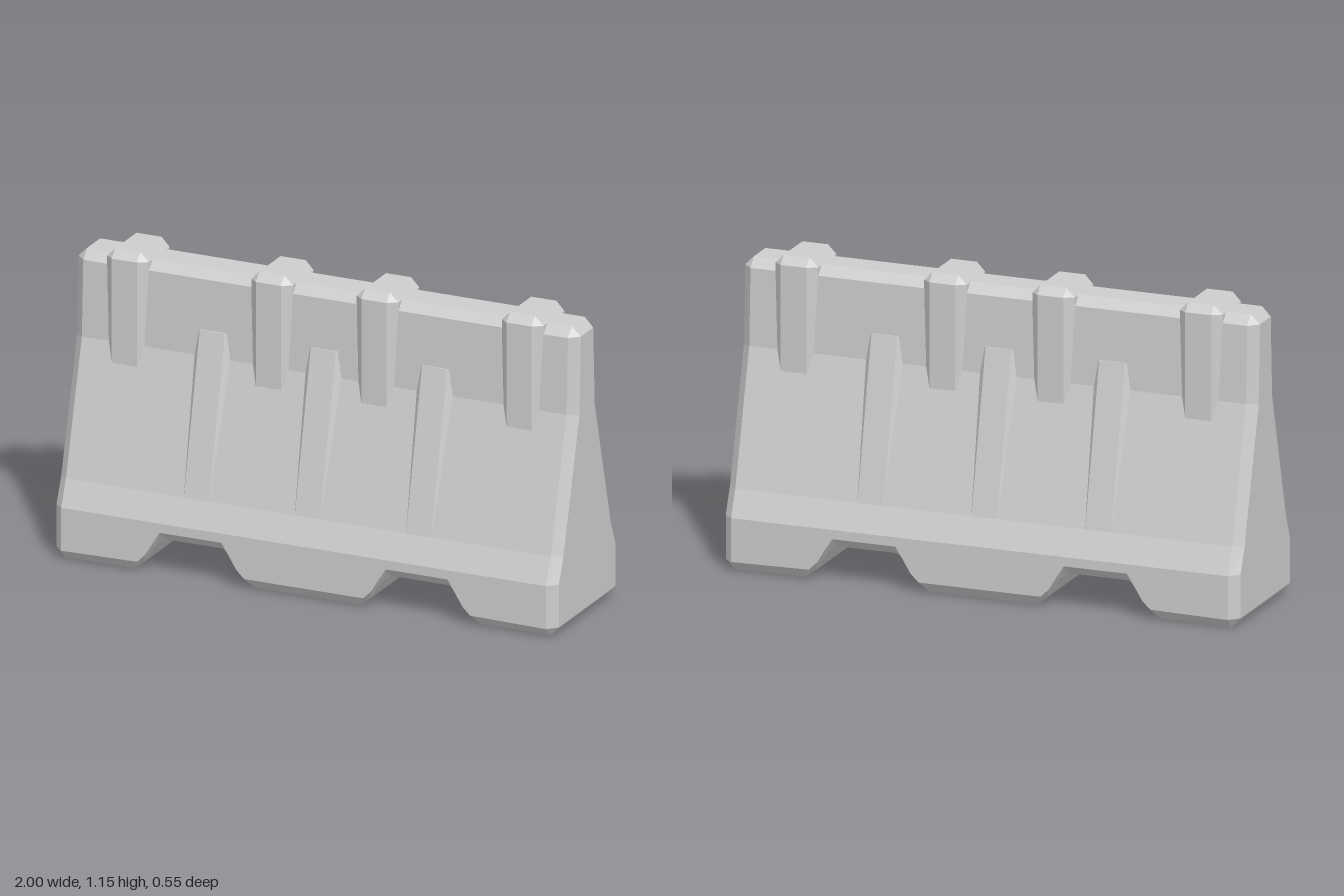
import * as THREE from 'three';

const concrete = new THREE.MeshStandardMaterial({ color: 0xcccccc });
concrete.name = 'concrete grey';
concrete.flatShading = true;

// Front half of a section [x, y, z], completed with its mirror image at the back
const wholeRing = (half) => [...half, ...half.map(([x, y, z]) => [x, y, -z]).reverse()];

// Closed, flat-faced skin over a row of sections running from -x to +x
function loft(halves) {
  const rings = halves.map(wholeRing);
  const n = rings[0].length;
  const pos = [];
  const v = (p) => new THREE.Vector3(...p);
  const tri = (a, b, c) => {
    const area = v(b).sub(v(a)).cross(v(c).sub(v(a))).length();
    if (area > 1e-7) pos.push(...a, ...b, ...c);
  };
  const quad = (a, b, c, d) => { tri(a, b, c); tri(a, c, d); };
  for (let i = 0; i < rings.length - 1; i++) {
    const r = rings[i], s = rings[i + 1];
    for (let j = 0; j < n; j++) {
      const k = (j + 1) % n;
      quad(r[j], s[j], s[k], r[k]);
    }
  }
  // End caps, as level strips from front to back
  const first = rings[0], last = rings[rings.length - 1];
  for (let j = 0; j < n / 2 - 1; j++) {
    quad(last[j], last[n - 1 - j], last[n - 2 - j], last[j + 1]);
    quad(first[j + 1], first[n - 2 - j], first[n - 1 - j], first[j]);
  }
  const geo = new THREE.BufferGeometry();
  geo.setAttribute('position', new THREE.Float32BufferAttribute(pos, 3));
  geo.computeVertexNormals();
  return geo;
}

// Body section: the underside edge and its chamfer follow the arches
function bodySection(xb, yb, xc, yc) {
  return [
    [xb, yb, 0.24], [xc, yc, 0.275], [xc, 0.2, 0.275], [xc, 0.3, 0.235],
    [xc, 0.8, 0.1], [xc, 1.09, 0.088], [xc, 1.125, 0.055],
  ];
}

// Inset section at the chamfered ends
function endSection(x) {
  return [
    [x, 0.035, 0.24], [x, 0.035, 0.24], [x, 0.2, 0.24], [x, 0.295, 0.2],
    [x, 0.79, 0.065], [x, 1.09, 0.052], [x, 1.09, 0.052],
  ];
}

function bodyGeometry() {
  // Half of an arch: underside x, y and chamfer x, y, from the foot to the crown
  const arch = [
    [0.24, 0, 0.213, 0.04], [0.2, 0.03, 0.182, 0.07],
    [0.15, 0.105, 0.145, 0.13], [0.115, 0.13, 0.123, 0.165],
  ];
  const sections = [endSection(-1), bodySection(-0.965, 0, -0.965, 0.035)];
  for (const cx of [-0.45, 0.45]) {
    for (const [xb, yb, xc, yc] of arch) sections.push(bodySection(cx - xb, yb, cx - xc, yc));
    for (const [xb, yb, xc, yc] of [...arch].reverse()) sections.push(bodySection(cx + xb, yb, cx + xc, yc));
  }
  sections.push(bodySection(0.965, 0, 0.965, 0.035), endSection(1));
  return loft(sections);
}

// Chamfered band that wraps over the top rail
function bandGeometry() {
  const side = (x) => [[x, 0.72, 0.088], [x, 1.122, 0.088], [x, 1.122, 0.088]];
  const face = (x) => [[x, 0.72, 0.12], [x, 1.125, 0.12], [x, 1.155, 0.09]];
  return loft([side(-0.083), face(-0.05), face(0.05), side(0.083)]);
}

// Sloping rib, emerging from both faces of the body
function ribGeometry() {
  const slice = (x, inset) => [[x, 0.3, 0.236 - inset], [x, 0.9, 0.101 - inset]];
  return loft([slice(-0.08, 0.033), slice(-0.05, 0), slice(0.05, 0), slice(0.08, 0.033)]);
}

export function createModel() {
  const model = new THREE.Group();
  model.name = 'roadBarrier';
  const add = (name, geo, x = 0) => {
    const mesh = new THREE.Mesh(geo, concrete);
    mesh.name = name;
    mesh.position.x = x;
    model.add(mesh);
  };

  add('body', bodyGeometry());

  const band = bandGeometry();
  [-0.787, -0.213, 0.207, 0.785].forEach((x, i) => add(`topBand${i + 1}`, band, x));

  const rib = ribGeometry();
  [-0.445, -0.003, 0.44].forEach((x, i) => add(`slopeRib${i + 1}`, rib, x));

  return model;
}
